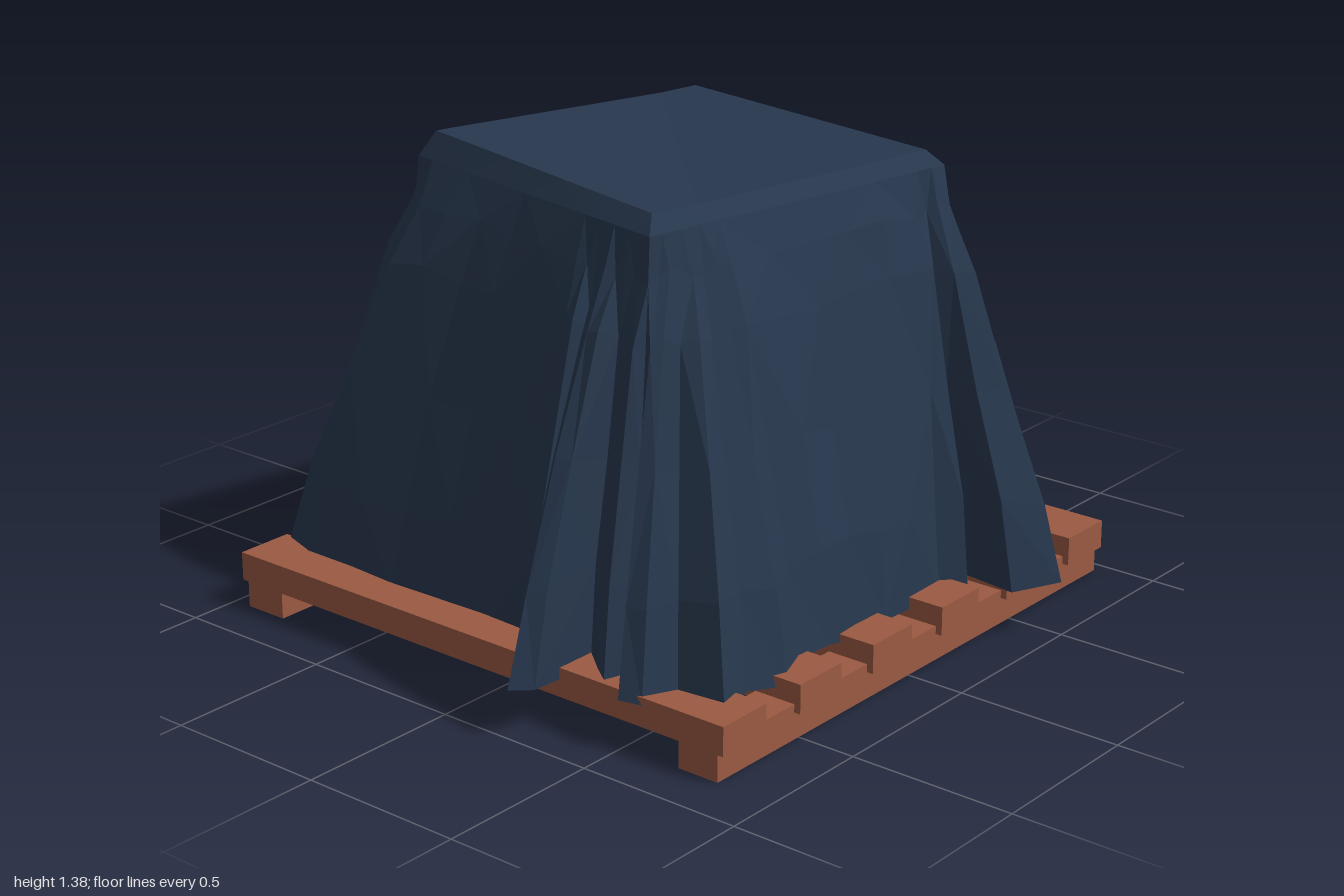
import * as THREE from 'three';

const wood = new THREE.MeshStandardMaterial({ color: 0x9b5a43, flatShading: true });
const cloth = new THREE.MeshStandardMaterial({ color: 0x27374d, flatShading: true, side: THREE.DoubleSide });

function seeded(seed) {
  return () => {
    seed = (seed * 16807) % 2147483647;
    return seed / 2147483647 - 0.5;
  };
}

function addBox(parent, name, x0, x1, y0, y1, z0, z1) {
  const mesh = new THREE.Mesh(new THREE.BoxGeometry(x1 - x0, y1 - y0, z1 - z0), wood);
  mesh.position.set((x0 + x1) / 2, (y0 + y1) / 2, (z0 + z1) / 2);
  mesh.name = name;
  parent.add(mesh);
}

function createPallet() {
  const pallet = new THREE.Group();
  pallet.name = 'pallet';
  addBox(pallet, 'runner', -0.94, -0.8, 0, 0.104, -0.957, 0.843);
  addBox(pallet, 'runner', 0.69, 0.82, 0, 0.104, -0.957, 0.843);
  for (let i = 0; i < 6; i++) {
    const z = 0.845 - i * 0.3245;
    addBox(pallet, 'slat', -0.96, 0.84, 0.08, 0.166, z - 0.18, z);
  }
  return pallet;
}

// Corners of the covered load, counter-clockwise from above, starting at -x, +z
const corners = [[-0.67, 0.36], [0.35, 0.55], [0.54, -0.51], [-0.5, -0.68]];

// Hem outline of the gathered folds at each corner; from/to place them along the top edge
const gathers = [
  { from: -0.22, to: 0.1, hem: [[-0.85, 0.1], [-0.92, 0.16], [-0.83, 0.21], [-0.87, 0.29],
    [-0.93, 0.42], [-0.85, 0.43], [-0.84, 0.53], [-0.99, 0.59], [-0.93, 0.67], [-0.83, 0.72]] },
  { from: -0.26, to: 0.22, hem: [[0.08, 0.73], [0.14, 0.84], [0.18, 0.72], [0.2, 0.95],
    [0.23, 0.99], [0.28, 0.95], [0.28, 0.72], [0.36, 0.78], [0.42, 0.83], [0.45, 0.74], [0.5, 0.86],
    [0.57, 0.85], [0.61, 0.75], [0.76, 0.74], [0.72, 0.6], [0.78, 0.49], [0.73, 0.38]] },
  { from: -0.12, to: 0.12, hem: [[0.73, -0.28], [0.78, -0.34], [0.72, -0.37], [0.92, -0.37],
    [1.0, -0.5], [0.85, -0.54], [0.68, -0.51], [0.73, -0.6], [0.83, -0.59], [0.77, -0.75], [0.68, -0.88]] },
  { from: -0.18, to: 0.14, hem: [[-0.28, -0.84], [-0.28, -0.97], [-0.35, -0.91], [-0.42, -1.0],
    [-0.51, -0.96], [-0.52, -0.83], [-0.61, -0.86], [-0.8, -0.85], [-0.86, -0.91], [-0.84, -0.72]] },
];

// Hanging rows from the top edge to the hem: height and how far each has spread outward
const rows = [
  { y: 1.31, fold: 0, wall: 0 },
  { y: 1.2, fold: 0.08, wall: 0.16 },
  { y: 1.04, fold: 0.27, wall: 0.34 },
  { y: 0.72, fold: 0.56, wall: 0.61 },
  { y: 0.4, fold: 0.84, wall: 0.86 },
  { y: 0.145, fold: 1, wall: 1 },
];

const mix = (a, b, t) => a + (b - a) * t;

function topEdge(s) {
  const u = (s + 4) % 4, k = Math.floor(u);
  const a = corners[k], b = corners[(k + 1) % 4];
  return [mix(a[0], b[0], u - k), mix(a[1], b[1], u - k)];
}

// One column of cloth for each fold point, plus evenly spaced ones along each wall
function clothColumns() {
  const columns = [];
  gathers.forEach((g, k) => {
    const last = g.hem.length - 1;
    const nearest = Math.round(-g.from / (g.to - g.from) * last);
    g.hem.forEach((hem, i) => columns.push({
      hem,
      s: k + (i === nearest ? 0 : mix(g.from, g.to, i / last)),
      kind: i === 0 || i === last ? 'wall' : 'fold',
    }));
    const next = gathers[(k + 1) % 4], a = g.hem[last], b = next.hem[0];
    for (let i = 1; i < 5; i++) {
      const t = i / 5;
      const hem = [mix(a[0], b[0], t), mix(a[1], b[1], t)];
      columns.push({ hem, s: mix(k + g.to, k + 1 + next.from, t), kind: 'wall' });
    }
  });
  return columns;
}

function createTarp() {
  const rand = seeded(4711);
  const columns = clothColumns();
  const n = columns.length;
  const centre = [-0.07, -0.07];
  // Nearly level top, lifted towards one corner
  const roof = (x, z) => 1.353 + 0.03 * THREE.MathUtils.clamp((z - x) / 0.93, 0, 1);
  const positions = [centre[0], roof(...centre), centre[1]];
  const indices = [];

  // Top, bevelled to the edge of the load
  for (const c of columns) {
    const [tx, tz] = topEdge(c.s);
    const x = mix(centre[0], tx, 0.93), z = mix(centre[1], tz, 0.93);
    positions.push(x, roof(x, z), z);
  }
  // Sides, slightly crumpled, with a ragged hem
  rows.forEach((row, r) => {
    const crumple = r === 0 ? 0 : 1;
    for (const c of columns) {
      const [tx, tz] = topEdge(c.s);
      const t = row[c.kind];
      const wobble = 1 + crumple * rand() * 0.024;
      const y = row.y + crumple * rand() * 0.04;
      positions.push(mix(tx, c.hem[0], t) * wobble, y, mix(tz, c.hem[1], t) * wobble);
    }
  });

  for (let j = 0; j < n; j++) {
    const k = (j + 1) % n;
    indices.push(0, 1 + j, 1 + k);
    for (let r = 0; r < rows.length; r++) {
      const a = 1 + r * n + j, d = 1 + r * n + k, b = a + n, c = d + n;
      if ((j + r) % 2) indices.push(a, b, c, a, c, d);
      else indices.push(a, b, d, b, c, d);
    }
  }
  const geometry = new THREE.BufferGeometry();
  geometry.setAttribute('position', new THREE.Float32BufferAttribute(positions, 3));
  geometry.setIndex(indices);
  geometry.computeVertexNormals();
  const tarp = new THREE.Mesh(geometry, cloth);
  tarp.name = 'tarp';
  return tarp;
}

export function createModel() {
  const model = new THREE.Group();
  model.name = 'coveredPallet';
  model.add(createPallet(), createTarp());
  return model;
}
